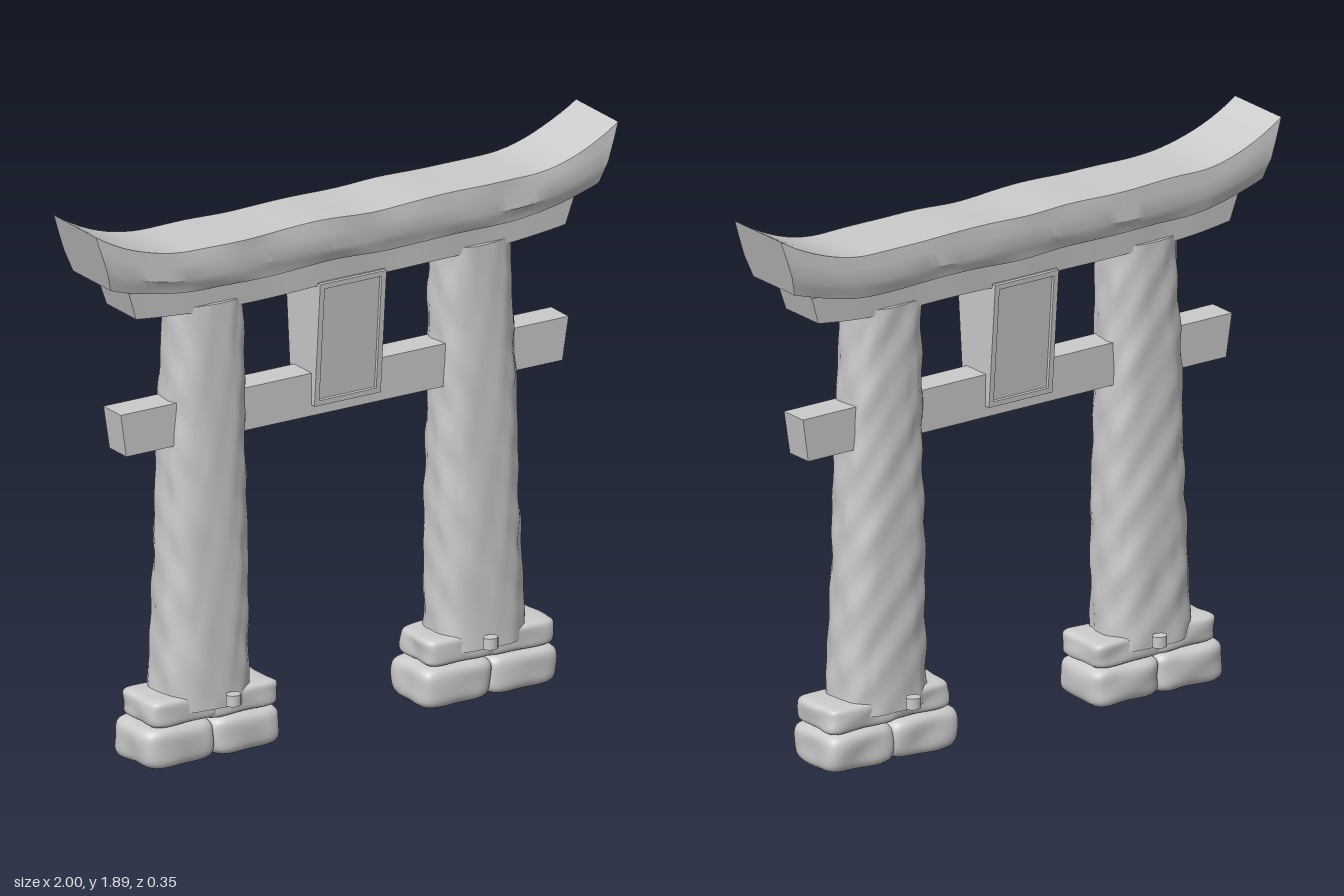
import * as THREE from 'three';
import { mergeVertices, toCreasedNormals } from 'three/addons/utils/BufferGeometryUtils.js';

const material = new THREE.MeshStandardMaterial({ color: 0xcccccc });

function addMesh(parent, name, geometry) {
  const mesh = new THREE.Mesh(geometry, material);
  mesh.name = name;
  parent.add(mesh);
  return mesh;
}

// Smooth, repeatable lumps in about -1..1
function lumps(x, y, z, seed) {
  return (Math.sin(x * 23 + y * 17 + seed) * Math.cos(z * 26 - y * 9 + seed * 2.3)
    + 0.6 * Math.sin(y * 38 + x * 31 + z * 19 + seed * 1.7)
    + 0.4 * Math.sin(z * 57 - x * 44 + y * 12 + seed * 3.1)) / 2;
}

// Closed skin over rings of points, counter-clockwise about the loft direction
function loft(rings, crease) {
  const n = rings[0].length, pos = [], idx = [];
  rings.forEach((ring) => ring.forEach((p) => pos.push(...p)));
  for (let i = 0; i < rings.length - 1; i++) {
    for (let j = 0; j < n; j++) {
      const a = i * n + j, b = i * n + (j + 1) % n;
      idx.push(a, b, b + n, a, b + n, a + n);
    }
  }
  [0, rings.length - 1].forEach((r) => {
    const c = pos.length / 3;
    for (let k = 0; k < 3; k++) pos.push(rings[r].reduce((s, p) => s + p[k], 0) / n);
    for (let j = 0; j < n; j++) {
      const a = r * n + j, b = r * n + (j + 1) % n;
      if (r) idx.push(c, a, b); else idx.push(c, b, a);
    }
  });
  const g = new THREE.BufferGeometry();
  g.setAttribute('position', new THREE.Float32BufferAttribute(pos, 3));
  g.setIndex(idx);
  return toCreasedNormals(g, crease);
}

// Beam along x with raked ends; section lists [height 0..1, half depth] from bottom to top
function beam({ topX, botX, topY, botY, section, rough = 0, steps = 60 }) {
  const rings = [];
  for (let i = 0; i <= steps; i++) {
    const t = (i / steps) * 2 - 1;
    const point = ([h, w], side) => {
      const x = t * (botX + (topX - botX) * h);
      const wear = rough * (1 - Math.abs(t) ** 6);
      const y = botY(t) + (topY(t) - botY(t)) * h + wear * lumps(x * 0.4, h, side, 2);
      return [x, y, side * (w + 0.6 * wear * lumps(x * 0.6, h * 2, side, 5))];
    };
    rings.push([
      ...[...section].reverse().map((s) => point(s, 1)),
      ...section.map((s) => point(s, -1)),
    ]);
  }
  return loft(rings, 0.5);
}

// Weathered pillar: rounded-square section, wider toward the foot
function pillar(seed, side) {
  const rings = [], rows = 70, cols = 56, p = 2 / 2.7;
  const pw = (v) => Math.sign(v) * Math.abs(v) ** p;
  for (let i = 0; i <= rows; i++) {
    const t = i / rows, y = 0.18 + 1.38 * t, ring = [];
    for (let j = 0; j < cols; j++) {
      const a = (j / cols) * Math.PI * 2;
      const x = pw(Math.sin(a)), z = pw(Math.cos(a));
      const gouge = Math.max(0, Math.sin(a * 7 + seed + Math.sin(y * 6)) - 0.8) * Math.max(0, Math.sin(y * 11 + j));
      const k = 1 + 0.045 * lumps(x * 0.22, y, z * 0.22, seed) - 0.1 * gouge;
      ring.push([
        side * (0.526 - 0.014 * t) + x * k * (0.166 - 0.036 * t),
        y,
        z * k * (0.122 - 0.02 * t),
      ]);
    }
    rings.push(ring);
  }
  return loft(rings, 0.9);
}

// Worn block filling the given box
function stone(x0, x1, y0, y1, depth, seed, power = 5) {
  let g = new THREE.BoxGeometry(2, 2, 2, 18, 12, 16);
  g.deleteAttribute('normal');
  g.deleteAttribute('uv');
  g = mergeVertices(g);
  const pos = g.attributes.position, v = new THREE.Vector3();
  for (let i = 0; i < pos.count; i++) {
    v.fromBufferAttribute(pos, i);
    const r = (Math.abs(v.x) ** power + Math.abs(v.y) ** power + Math.abs(v.z) ** power) ** (1 / power);
    v.divideScalar(r).multiplyScalar(1 + 0.045 * lumps(v.x * 0.12, v.y * 0.08, v.z * 0.12, seed));
    pos.setXYZ(i,
      (x0 + x1) / 2 + v.x * (x1 - x0) / 2,
      (y0 + y1) / 2 + v.y * (y1 - y0) / 2,
      v.z * depth);
  }
  g.computeVertexNormals();
  return g;
}

// Hanging tablet, thicker at the top, with a raised rim on both faces
function tablet() {
  const group = new THREE.Group();
  group.name = 'tablet';
  const y0 = 1.12, y1 = 1.55, h = y1 - y0, half = 0.127, rim = 0.018;
  const ring = (y, d) => [[-half, y, -d], [-half, y, d], [half, y, d], [half, y, -d]];
  addMesh(group, 'tabletBody', loft([ring(y0, 0.058), ring(y1, 0.093)], 0.3));
  const frame = new THREE.Shape([[-half, 0], [half, 0], [half, h], [-half, h]].map((p) => new THREE.Vector2(...p)));
  frame.holes.push(new THREE.Path([[-half + rim, rim], [-half + rim, h - rim], [half - rim, h - rim], [half - rim, rim]]
    .map((p) => new THREE.Vector2(...p))));
  const geometry = new THREE.ExtrudeGeometry(frame, { depth: 0.012, bevelEnabled: false });
  [0, Math.PI].forEach((turn) => {
    const face = new THREE.Group();
    face.name = 'tabletFace';
    face.rotation.y = turn;
    const border = addMesh(face, 'tabletRim', geometry);
    border.position.set(0, y0, 0.057);
    border.rotation.x = Math.atan2(0.035, h);
    group.add(face);
  });
  return group;
}

export function createModel() {
  const gate = new THREE.Group();
  gate.name = 'gate';
  const sweep = (t, start) => Math.max(0, (Math.abs(t) - start) / (1 - start)) ** 2;

  // Upswept top beam and the smaller beam below it
  addMesh(gate, 'topBeam', beam({
    topX: 1, botX: 0.935,
    topY: (t) => 1.772 + 0.118 * sweep(t, 0.64),
    botY: (t) => 1.622 + 0.068 * sweep(t, 0.6),
    section: [[0, 0.112], [0.2, 0.122], [0.35, 0.13], [0.7, 0.129], [1, 0.125]],
    rough: 0.007,
  }));
  addMesh(gate, 'lowerBeam', beam({
    topX: 0.853, botX: 0.822,
    topY: (t) => 1.627 + 0.03 * sweep(t, 0.6),
    botY: (t) => 1.536 + 0.026 * sweep(t, 0.55),
    section: [[0, 0.088], [1, 0.094]],
    rough: 0.004,
  }));

  // Straight tie beam through both pillars
  addMesh(gate, 'tieBeam', beam({
    topX: 0.857, botX: 0.835, topY: () => 1.229, botY: () => 1.082,
    section: [[0, 0.05], [1, 0.052]], steps: 1,
  }));
  gate.add(tablet());

  // Pillars on stacked stones, with small pegs at front and back
  const peg = new THREE.CylinderGeometry(0.026, 0.026, 0.038, 16);
  [-1, 1].forEach((side) => {
    const leg = new THREE.Group();
    leg.name = side > 0 ? 'leftLeg' : 'rightLeg';
    gate.add(leg);
    addMesh(leg, 'pillar', pillar(side > 0 ? 1.3 : 4.1, side));
    const c = 0.53 * side;
    addMesh(leg, 'baseStone', stone(c - 0.265, c + 0.01, 0.002, 0.145, 0.12, 3 + side));
    addMesh(leg, 'baseStone', stone(c - 0.01, c + 0.26, 0.004, 0.142, 0.12, 7 + side));
    addMesh(leg, 'upperStone', stone(c - 0.235, c + 0.03, 0.142, 0.236, 0.107, 11 + side, 7));
    addMesh(leg, 'upperStone', stone(c - 0.03, c + 0.25, 0.138, 0.228, 0.107, 15 + side, 7));
    [-1, 1].forEach((end) => {
      const mesh = addMesh(leg, 'peg', peg);
      mesh.position.set(0.492 * side, 0.215, 0.155 * end);
      mesh.scale.z = 0.85;
    });
  });
  return gate;
}
